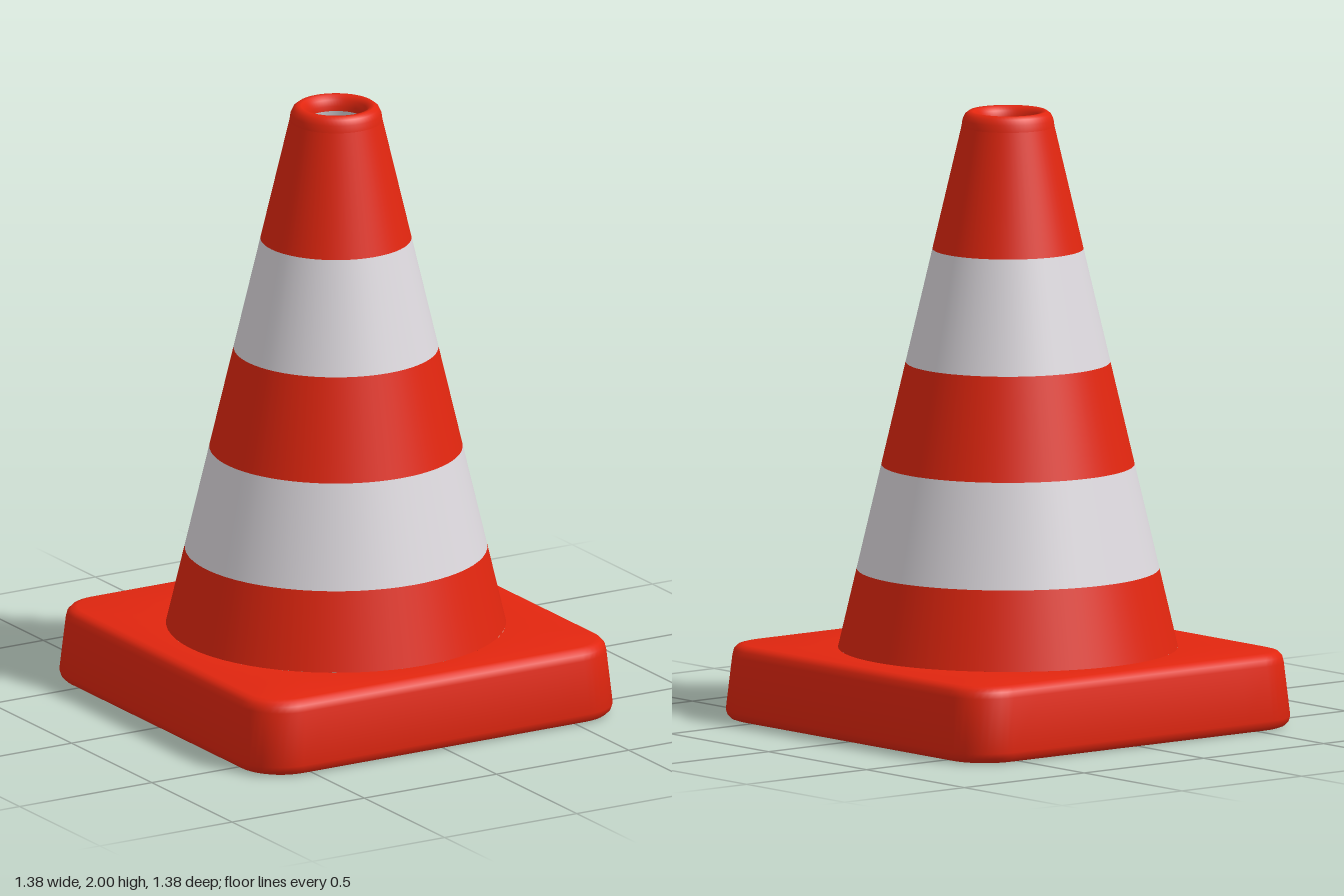
import * as THREE from 'three';
import { toCreasedNormals } from 'three/addons/utils/BufferGeometryUtils.js';

const red = new THREE.MeshStandardMaterial({ color: 0xe2260f });
red.name = 'orange red';
const white = new THREE.MeshStandardMaterial({ color: 0xdedadf });
white.name = 'reflective white';

const outerRadius = y => 0.608 - 0.2346 * y;
const innerRadius = y => 0.54 - 0.2293 * y;

function addLathe(group, name, points, material) {
  const geometry = new THREE.LatheGeometry(points.map(([r, y]) => new THREE.Vector2(r, y)), 64);
  const mesh = new THREE.Mesh(geometry, material);
  mesh.name = name;
  group.add(mesh);
}

// Outline of a rounded square, as [x, z] pairs
function roundedSquare(half, radius, steps = 10) {
  const points = [];
  for (let corner = 0; corner < 4; corner++) {
    const middle = Math.PI / 4 + corner * Math.PI / 2;
    const cx = Math.sign(Math.cos(middle)) * (half - radius);
    const cz = Math.sign(Math.sin(middle)) * (half - radius);
    for (let i = 0; i <= steps; i++) {
      const a = (corner + i / steps) * Math.PI / 2;
      points.push([cx + radius * Math.cos(a), cz + radius * Math.sin(a)]);
    }
    // Extra points along the straight side
    const [x0, z0] = points[points.length - 1];
    const next = (corner + 1) * Math.PI / 2;
    const length = 2 * (half - radius);
    for (let i = 1; i < steps; i++) {
      const d = length * i / steps;
      points.push([x0 - Math.sin(next) * d, z0 + Math.cos(next) * d]);
    }
  }
  return points;
}

// Square foot: lofted from the hole underneath, round the sides, to the cone
function baseGeometry() {
  const sections = [
    [0.663, 0.13, 0], [0.678, 0.145, 0.005], [0.688, 0.15, 0.016], [0.692, 0.15, 0.034],
    [0.677, 0.15, 0.21], [0.672, 0.145, 0.23], [0.66, 0.135, 0.243], [0.642, 0.12, 0.248],
  ];
  const circle = (r, y) => roundedSquare(0.66, 0.14).map(([x, z]) => {
    const s = r / Math.hypot(x, z);
    return [x * s, y, z * s];
  });
  const rings = [
    circle(innerRadius(0), 0),
    ...sections.map(([half, radius, y]) => roundedSquare(half, radius).map(([x, z]) => [x, y, z])),
    circle(outerRadius(0.248), 0.248),
  ];
  const n = rings[0].length;
  const index = [];
  for (let i = 0; i < rings.length - 1; i++) {
    for (let j = 0; j < n; j++) {
      const a = i * n + j, b = i * n + (j + 1) % n;
      index.push(a, a + n, b, b, a + n, b + n);
    }
  }
  const geometry = new THREE.BufferGeometry();
  geometry.setAttribute('position', new THREE.Float32BufferAttribute(rings.flat(2), 3));
  geometry.setIndex(index);
  return toCreasedNormals(geometry, 0.6);
}

export function createModel() {
  const model = new THREE.Group();
  model.name = 'trafficCone';

  const base = new THREE.Mesh(baseGeometry(), red);
  base.name = 'base';
  model.add(base);

  // Outside of the cone, in alternating bands
  const outer = new THREE.Group();
  outer.name = 'coneOutside';
  model.add(outer);
  const outerEdges = [0.248, 0.505, 0.845, 1.18, 1.55, 1.95];
  for (let i = 0; i < outerEdges.length - 1; i++) {
    const y0 = outerEdges[i], y1 = outerEdges[i + 1];
    addLathe(outer, `outerBand${i + 1}`, [[outerRadius(y0), y0], [outerRadius(y1), y1]], i % 2 ? white : red);
  }

  // Rounded rim around the top opening
  addLathe(model, 'topRim', [
    [outerRadius(1.95), 1.95], [0.147, 1.973], [0.139, 1.99], [0.126, 2],
    [0.112, 1.998], [0.1, 1.985], [0.094, 1.965], [innerRadius(1.95), 1.95],
  ], red);

  // Hollow inside of the cone, with its own bands
  const inner = new THREE.Group();
  inner.name = 'coneInside';
  model.add(inner);
  const innerEdges = [0, 0.24, 0.55, 0.92, 1.25, 1.6, 1.95];
  for (let i = 0; i < innerEdges.length - 1; i++) {
    const y0 = innerEdges[i], y1 = innerEdges[i + 1];
    addLathe(inner, `innerBand${i + 1}`, [[innerRadius(y1), y1], [innerRadius(y0), y0]], i % 2 ? white : red);
  }
  return model;
}
